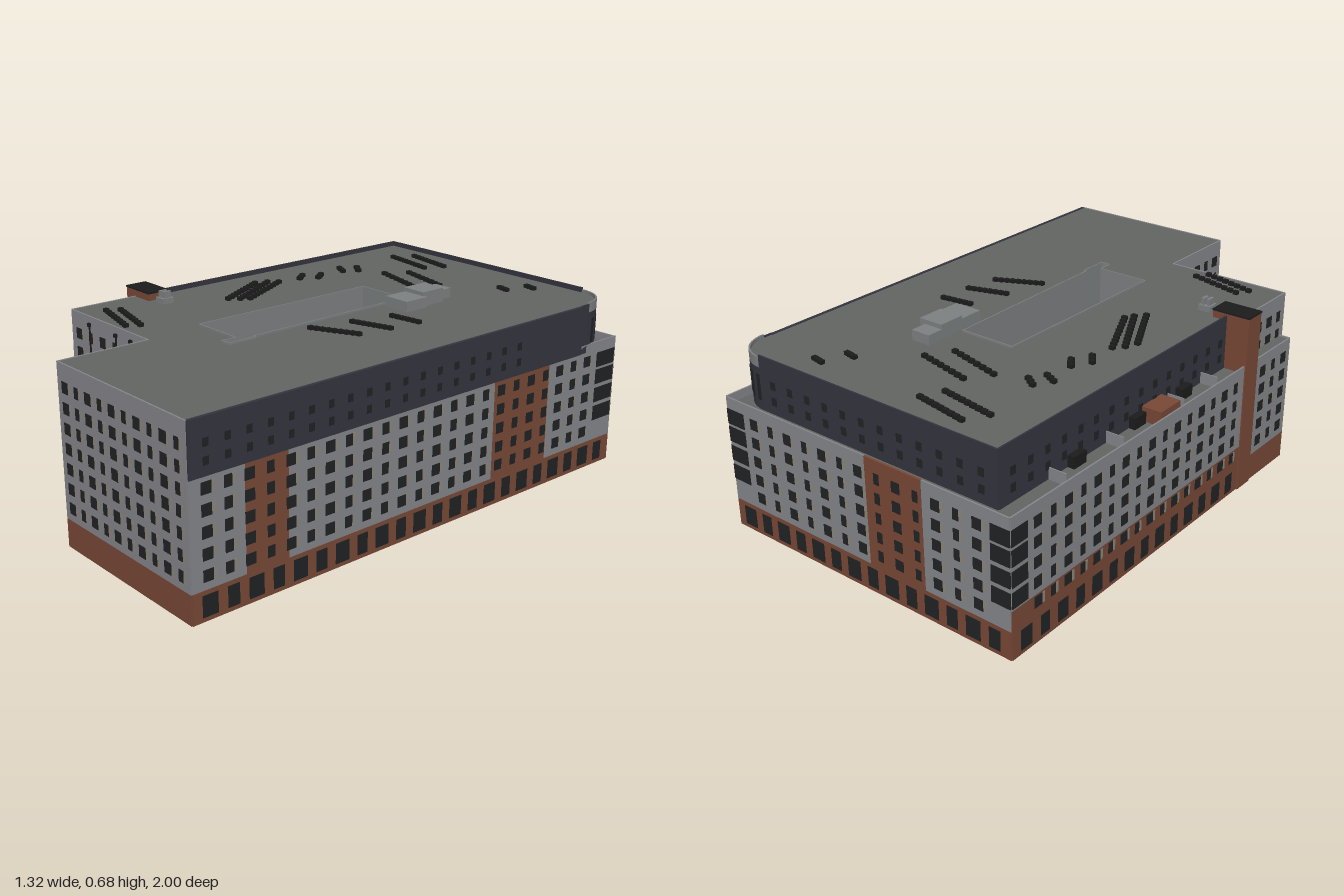
import * as THREE from 'three';
import { mergeGeometries } from 'three/addons/utils/BufferGeometryUtils.js';

const mat = (color) => new THREE.MeshStandardMaterial({ color, side: THREE.DoubleSide, flatShading: true });
const M = {
  wall: mat(0x85868a), brick: mat(0x784836), dark: mat(0x34343f), roof: mat(0x636563),
  glass: mat(0x202224), trim: mat(0x8c867c), unit: mat(0x7d8082), black: mat(0x1c1c1c),
};
const TILT = -0.0844; // the block stands slightly turned on its site
const C = Math.cos(TILT), S = Math.sin(TILT);
const toLocal = (x, z) => [x * C - z * S, x * S + z * C];

const boxGeo = (x0, x1, y0, y1, z0, z1) =>
  new THREE.BoxGeometry(x1 - x0, y1 - y0, z1 - z0).translate((x0 + x1) / 2, (y0 + y1) / 2, (z0 + z1) / 2);

function add(parent, name, geos, material) {
  if (!geos.length) return;
  const mesh = new THREE.Mesh(geos.length > 1 ? mergeGeometries(geos) : geos[0], material);
  mesh.name = name;
  parent.add(mesh);
}

// Group whose local x runs from a to b and whose z points out of the building
function facade(parent, name, a, b) {
  const g = new THREE.Group();
  g.name = name;
  g.position.set(a[0], 0, a[1]);
  g.rotation.y = Math.atan2(a[1] - b[1], b[0] - a[0]);
  g.userData.length = Math.hypot(b[0] - a[0], b[1] - a[1]);
  parent.add(g);
  return g;
}

// Strips of wall: [x0, x1, y0, y1, material, thickness]
function strips(g, name, list) {
  for (const [x0, x1, y0, y1, m, t = 0.003] of list) add(g, name, [boxGeo(x0, x1, y0, y1, -t, t)], m);
}

// Grid of windows with pale side panels
function windows(g, columns, rows, h, paneled = true, t = 0.005) {
  const glass = [], side = [];
  for (const [x, w] of columns) for (const y of rows) {
    glass.push(boxGeo(x - w / 2, x + w / 2, y - h / 2, y + h / 2, -t, t));
    if (paneled) side.push(boxGeo(x + w / 2, x + w / 2 + 0.014, y - h / 2, y + h / 2, -0.0035, 0.0035));
  }
  add(g, 'windows', glass, M.glass);
  add(g, 'windowSidePanels', side, M.trim);
}

// Evenly spaced columns with alternating wide and narrow windows
function columns(x0, x1, step, w1 = 0.034, w2 = 0.022) {
  const n = Math.max(1, Math.round((x1 - x0) / step)), out = [];
  for (let i = 0; i < n; i++) out.push([x0 + (x1 - x0) * (i + 0.5) / n, i % 2 ? w2 : w1]);
  return out;
}

// Flat horizontal surface from a plan outline
function slab(parent, name, outline, y, material, hole) {
  const pts = (l) => l.map(([x, z]) => new THREE.Vector2(x, -z));
  const shape = new THREE.Shape(pts(outline));
  if (hole) shape.holes.push(new THREE.Path(pts(hole)));
  add(parent, name, [new THREE.ShapeGeometry(shape).rotateX(-Math.PI / 2).translate(0, y, 0)], material);
}

export function createModel() {
  const model = new THREE.Group();
  model.name = 'apartmentBlock';
  const B = new THREE.Group();
  B.name = 'building';
  B.rotation.y = TILT;
  model.add(B);

  const L = -0.607, LU = -0.527, R = 0.582, F = 0.951, K = -0.952, KU = -0.905, FN = 0.619, NX = -0.09;
  const floors = [0.145, 0.212, 0.28, 0.348, 0.415], tall = [...floors, 0.482, 0.55];

  // Front walls, full height
  for (const [name, a, b] of [['frontWall', [NX, F], [R, F]], ['frontNotchWall', [-0.56, FN], [NX, FN]],
    ['notchSideWall', [NX, FN], [NX, F]], ['frontLeftSideWall', [-0.56, 0.34], [-0.56, FN]]]) {
    const g = facade(B, name, a, b), n = g.userData.length;
    strips(g, 'wall', [[0, n, 0, 0.1, M.brick], [0, n, 0.1, 0.627, M.wall]]);
    windows(g, columns(0.01, n - 0.01, name === 'frontNotchWall' ? 0.078 : 0.066), tall, 0.038);
    if (name === 'frontNotchWall') { // downpipes
      for (const x of [0.12, 0.285, 0.375]) {
        add(g, 'downpipe', [boxGeo(x - 0.002, x + 0.002, 0.1, 0.6, 0, 0.008),
          boxGeo(x - 0.006, x + 0.006, 0.592, 0.604, 0, 0.012)], M.black);
      }
    }
  }

  // Right wall, with brick bays and a dark upper band
  {
    const g = facade(B, 'rightWall', [R, F], [R, K]), n = g.userData.length;
    strips(g, 'wall', [[0, n, 0, 0.1, M.brick], [0, n, 0.1, 0.452, M.wall], [1.7, n, 0.452, 0.48, M.wall],
      [0.195, 0.355, 0.1, 0.45, M.brick, 0.004], [1.25, 1.53, 0.1, 0.45, M.brick, 0.004],
      [0, 1.7, 0.45, 0.627, M.dark, 0.006]]);
    windows(g, columns(0.02, 1.78, 0.076, 0.036, 0.028), floors, 0.038);
    windows(g, columns(0.02, 1.88, 0.083, 0.055, 0.042), [0.05], 0.07, false);
    windows(g, columns(0.02, 1.4, 0.076, 0.02, 0.02), [0.497, 0.552], 0.026, false, 0.008);
    windows(g, [[1.847, 0.1]], [0.205, 0.275, 0.345, 0.41], 0.055, false);
  }

  // Back wall
  {
    const g = facade(B, 'backWall', [R, K], [L, K]), n = g.userData.length;
    strips(g, 'wall', [[0, n, 0, 0.1, M.brick], [0, n, 0.1, 0.478, M.wall], [0.63, 0.86, 0.1, 0.478, M.brick, 0.004]]);
    windows(g, columns(0.09, n - 0.08, 0.076), floors, 0.038);
    windows(g, columns(0.02, n - 0.02, 0.083, 0.055, 0.042), [0.05], 0.07, false);
    windows(g, [[0.04, 0.08], [n - 0.035, 0.07]], [0.205, 0.275, 0.345, 0.41], 0.055, false);
  }

  // Left wall, up to the brick tower
  {
    const g = facade(B, 'leftWall', [L, K], [L, 0.34]), n = g.userData.length;
    strips(g, 'wall', [[0, n, 0, 0.17, M.brick], [0, n, 0.17, 0.478, M.wall]]);
    windows(g, columns(0.08, n - 0.08, 0.07), floors, 0.038);
    windows(g, columns(0.02, n - 0.08, 0.083, 0.05, 0.04), [0.05], 0.07, false);
    windows(g, [[0.035, 0.07]], [0.205, 0.275, 0.345, 0.41], 0.055, false);
  }

  // Low wing beside the front left corner
  {
    const g = facade(B, 'leftWingWall', [L, 0.34], [L, 0.593]), n = g.userData.length;
    strips(g, 'wall', [[0, n, 0, 0.1, M.brick], [0, n, 0.1, 0.475, M.wall]]);
    windows(g, columns(0.03, n - 0.01, 0.07), floors, 0.038);
    strips(facade(B, 'leftWingEnd', [L, 0.593], [-0.56, 0.593]), 'wall', [[0, 0.047, 0, 0.475, M.wall]]);
    slab(B, 'leftWingRoof', [[L, 0.34], [-0.56, 0.34], [-0.56, 0.593], [L, 0.593]], 0.47, M.roof);
  }

  // Set-back top storey with a rounded corner
  const arc = [];
  for (let i = 0; i <= 10; i++) {
    const a = (i / 10) * Math.PI / 2;
    arc.push([R - 0.125 + 0.125 * Math.cos(a), KU + 0.125 - 0.125 * Math.sin(a)]);
  }
  for (let i = 0; i < 10; i++) {
    const g = facade(B, 'roundedCorner', arc[i], arc[i + 1]), n = g.userData.length;
    strips(g, 'wall', [[0, n, 0.45, 0.6, M.dark], [0, n, 0.6, 0.636, M.unit]]);
    if (i % 2) windows(g, [[n / 2, n * 0.8]], [0.53], 0.09, false);
  }
  strips(facade(B, 'topStoreyRight', [R, -0.745], arc[0]), 'wall', [[0, 0.036, 0.45, 0.63, M.dark]]);
  for (const [name, a, b, top] of [['topStoreyBack', arc[10], [LU, KU], 0.643], ['topStoreyLeft', [LU, KU], [LU, 0.3], 0.643]]) {
    const g = facade(B, name, a, b), n = g.userData.length;
    strips(g, 'wall', [[0, n, 0.45, top, M.dark]]);
    windows(g, columns(0.02, n - 0.02, 0.076, 0.022, 0.022), [0.497, 0.552], 0.028, false);
  }

  // Courtyard shaft
  const court = [[-0.109, -0.343], [0.102, -0.343], [0.112, 0.345], [0.122, 0.345], [0.122, 0.455],
    [0.085, 0.455], [0.085, 0.4], [-0.112, 0.4]];
  court.forEach((p, i) => {
    const g = facade(B, 'courtyardWall', p, court[(i + 1) % court.length]);
    strips(g, 'wall', [[0, g.userData.length, 0.12, 0.632, M.unit, 0.002]]);
  });
  slab(B, 'courtyardFloor', [[-0.109, -0.343], [0.102, -0.343], [0.112, 0.345], [0.122, 0.345], [0.122, 0.455],
    [0.085, 0.455], [0.085, 0.4], [-0.097, 0.4], [-0.097, -0.14], [-0.109, -0.14]], 0.12, M.roof);

  // Roof and terrace
  slab(B, 'roof', [[-0.56, FN], [NX, FN], [NX, F], [R, F], ...arc, [LU, KU], [LU, 0.34], [-0.56, 0.34]], 0.625, M.roof, court);
  slab(B, 'terrace', [[L, 0.34], [L, K], [R, K], ...arc, [LU, KU], [LU, 0.34]], 0.45, M.roof);

  // Brick stair tower
  add(B, 'stairTower', [boxGeo(-0.615, -0.475, 0, 0.65, 0.277, 0.357)], M.brick);
  add(B, 'stairTowerCap', [boxGeo(-0.617, -0.473, 0.65, 0.656, 0.275, 0.359)], M.black);

  // Box given by its plan centre on the site
  const siteBox = (x, z, w, d, y0, y1) => {
    const [u, v] = toLocal(x, z);
    return boxGeo(u - w / 2, u + w / 2, y0, y1, v - d / 2, v + d / 2);
  };

  // Terrace fittings
  add(B, 'terraceShelter', [siteBox(-0.55, -0.21, 0.075, 0.11, 0.45, 0.5)], M.brick);
  add(B, 'terraceDoors', [[-0.49, -0.61], [-0.515, -0.3], [-0.54, -0.04]].map(([x, z]) => siteBox(x, z, 0.03, 0.06, 0.45, 0.49)), M.black);
  add(B, 'terraceDividers', [-0.73, -0.45, -0.12, 0.08].map((z) => siteBox(-0.557 - z * 0.085, z, 0.08, 0.004, 0.45, 0.49)), M.wall);

  // Rooftop plant rooms and vents
  add(B, 'plantRooms', [siteBox(0.19, -0.445, 0.075, 0.065, 0.625, 0.66), siteBox(0.195, -0.365, 0.095, 0.1, 0.625, 0.676),
    siteBox(0.197, -0.27, 0.105, 0.1, 0.625, 0.662)], M.unit);
  add(B, 'roofVents', [siteBox(-0.45, 0.285, 0.045, 0.045, 0.625, 0.645),
    ...[-0.46, -0.44].map((x) => siteBox(x, 0.285, 0.012, 0.03, 0.645, 0.668))], M.unit);

  // Rows of small roof units: start x, z, end x, z, count
  const rows = [[-0.25, -0.845, -0.06, -0.795, 9], [-0.3, -0.775, -0.1, -0.725, 9], [-0.09, -0.625, 0.11, -0.56, 8],
    [-0.15, -0.55, 0.05, -0.48, 8], [-0.29, -0.545, -0.255, -0.515, 3], [-0.33, -0.49, -0.29, -0.465, 3],
    [-0.315, -0.37, -0.29, -0.33, 3], [-0.355, -0.31, -0.33, -0.27, 3], [-0.35, -0.18, -0.26, 0.05, 10],
    [-0.38, -0.15, -0.28, 0.08, 10], [-0.4, -0.105, -0.31, 0.11, 10], [0.25, -0.135, 0.36, -0.14, 6],
    [0.2, 0.01, 0.34, -0.02, 8], [0.15, 0.16, 0.31, 0.1, 9], [-0.47, 0.465, -0.28, 0.53, 8],
    [-0.5, 0.505, -0.31, 0.57, 8], [0.35, -0.775, 0.385, -0.765, 3], [0.29, -0.69, 0.325, -0.68, 3]];
  for (const [x0, z0, x1, z1, n] of rows) {
    const geos = [];
    for (let i = 0; i < n; i++) {
      const t = i / (n - 1);
      geos.push(siteBox(x0 + (x1 - x0) * t, z0 + (z1 - z0) * t, 0.018, 0.016, 0.625, 0.638));
    }
    add(B, 'roofUnitRow', geos, M.black);
  }
  return model;
}
